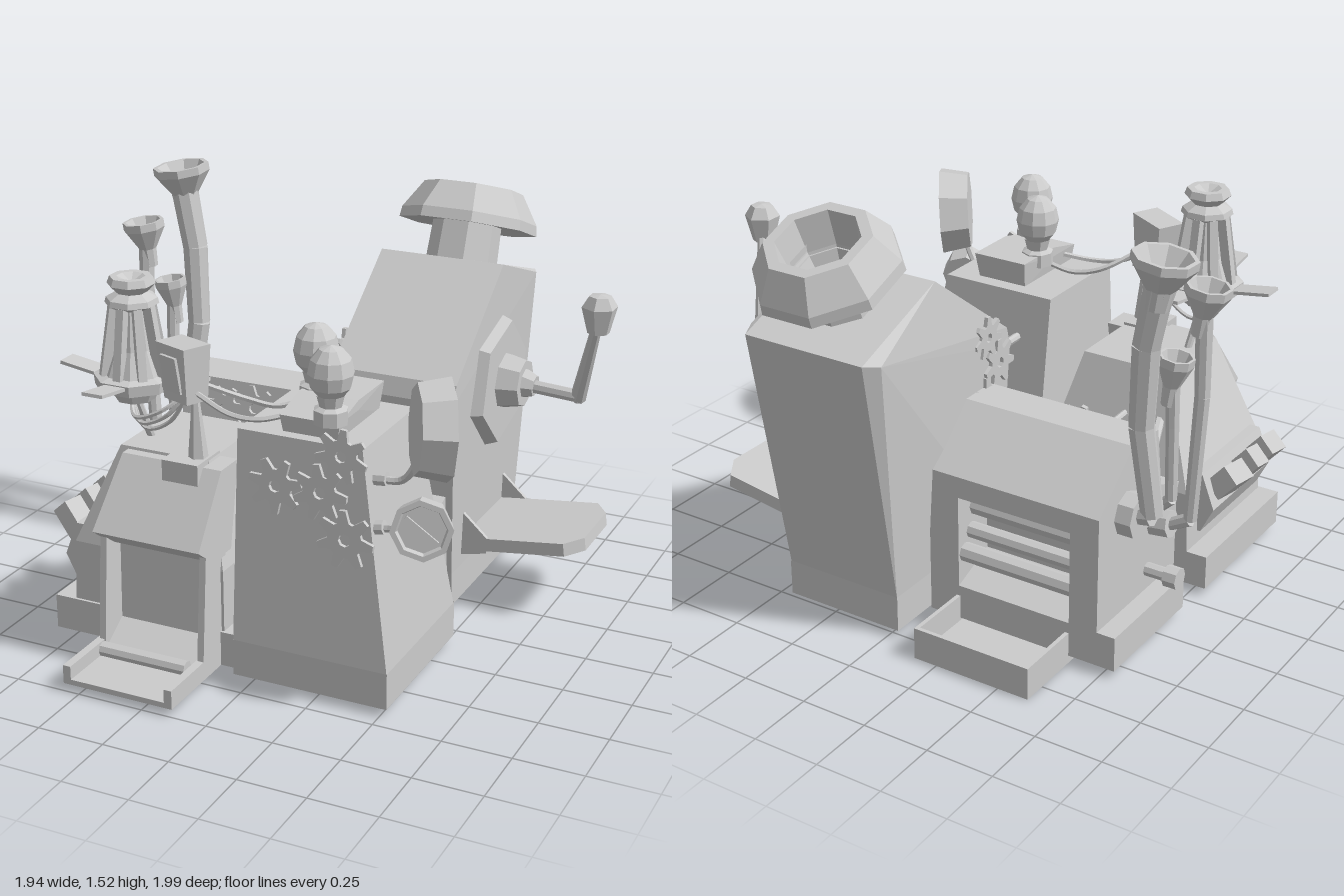
import * as THREE from 'three';
import { ConvexGeometry } from 'three/addons/geometries/ConvexGeometry.js';

const mat = new THREE.MeshStandardMaterial({ color: 0xcccccc, flatShading: true, side: THREE.DoubleSide });
const V = (p) => new THREE.Vector3(...p);

export function createModel() {
  const root = new THREE.Group();
  const add = (name, geo, pos = [0, 0, 0], rot = [0, 0, 0], parent = root) => {
    const m = new THREE.Mesh(geo, mat);
    m.name = name;
    m.position.set(...pos);
    m.rotation.set(...rot);
    parent.add(m);
    return m;
  };
  const group = (name, pos) => {
    const g = new THREE.Group();
    g.name = name;
    g.position.set(...pos);
    root.add(g);
    return g;
  };
  // box given by its limits
  const box = (name, x0, x1, y0, y1, z0, z1) =>
    add(name, new THREE.BoxGeometry(x1 - x0, y1 - y0, z1 - z0), [(x0 + x1) / 2, (y0 + y1) / 2, (z0 + z1) / 2]);
  // rectangle of four corners at one height, for tapered solids
  const ring = (y, x0, x1, z0, z1) => [[x0, y, z0], [x1, y, z0], [x1, y, z1], [x0, y, z1]];
  const solid = (name, pts) => add(name, new ConvexGeometry(pts.map(V)));
  // shell without the faces that lie wholly at one of the given heights
  const shell = (name, pts, openAt) => {
    const p = new ConvexGeometry(pts.map(V)).getAttribute('position').array;
    const kept = [];
    for (let i = 0; i < p.length; i += 9)
      if (!openAt.some((y) => [1, 4, 7].every((k) => Math.abs(p[i + k] - y) < 1e-4))) kept.push(...p.slice(i, i + 9));
    const g = new THREE.BufferGeometry();
    g.setAttribute('position', new THREE.Float32BufferAttribute(kept, 3));
    g.computeVertexNormals();
    return add(name, g);
  };
  // (z, y) profile extruded along x
  const prism = (name, profile, x0, x1) => {
    const s = new THREE.Shape(profile.map(([z, y]) => new THREE.Vector2(-z, y)));
    const g = new THREE.ExtrudeGeometry(s, { depth: x1 - x0, bevelEnabled: false });
    return add(name, g.rotateY(Math.PI / 2).translate(x0, 0, 0));
  };
  // straight round bar from a to b
  const rod = (name, a, b, r0, r1 = r0, n = 8) => {
    const A = V(a), d = V(b).sub(A);
    const m = add(name, new THREE.CylinderGeometry(r1, r0, d.length(), n), A.clone().addScaledVector(d, 0.5).toArray());
    m.quaternion.setFromUnitVectors(new THREE.Vector3(0, 1, 0), d.normalize());
    return m;
  };
  const tube = (name, pts, r, n = 6) =>
    add(name, new THREE.TubeGeometry(new THREE.CatmullRomCurve3(pts.map(V)), 16, r, n));
  const lathe = (pts, n = 8) => new THREE.LatheGeometry(pts.map((p) => new THREE.Vector2(...p)), n);

  // cog with square teeth and an open hub
  const gearGeo = (r, teeth = 7) => {
    const s = new THREE.Shape();
    for (let i = 0; i < teeth * 4; i++) {
      const a = ((i + 0.5) / (teeth * 4)) * Math.PI * 2;
      const q = i % 4 < 2 ? r : r * 0.6;
      s[i ? 'lineTo' : 'moveTo'](q * Math.cos(a), q * Math.sin(a));
    }
    s.holes.push(new THREE.Path().absarc(0, 0, r * 0.22, 0, Math.PI * 2));
    return new THREE.ExtrudeGeometry(s, { depth: 0.015, bevelEnabled: false, curveSegments: 4 });
  };

  // front right cabinet
  shell('cabinetBase', [...ring(0.04, -0.06, 0.525, 0.09, 0.69), ...ring(0.175, -0.06, 0.525, 0.09, 0.69)], [0.04, 0.175]);
  shell('cabinetBody', [...ring(0.17, -0.059, 0.523, 0.092, 0.688), ...ring(0.95, -0.05, 0.41, 0.21, 0.645)], [0.17]);
  solid('lampPlinth', [...ring(0.94, 0.1, 0.3, 0.27, 0.6), ...ring(1.045, 0.09, 0.31, 0.25, 0.46), ...ring(1.01, 0.09, 0.31, 0.46, 0.61)]);
  for (const [x, y, r] of [[0.1, 0.775, 0.1], [0.265, 0.78, 0.1], [0.34, 0.92, 0.095], [0.36, 0.63, 0.105]])
    add('frontGear', gearGeo(r), [x, y, 0.684 - (y - 0.17) * 0.045], [-0.05, 0, x * 9]);
  for (const [x, z] of [[0.12, 0.39], [0.265, 0.58]]) {
    const g = group('bulb', [x, 0, z]);
    add('bulbGlass', new THREE.SphereGeometry(0.08, 10, 6).scale(1, 1.2, 1), [0, 1.175, 0], [0, 0, 0], g);
    add('bulbSocket', lathe([[0, 1], [0.06, 1], [0.06, 1.05], [0.04, 1.06], [0.05, 1.1]]), [0, 0, 0], [0, 0, 0], g);
  }

  // gauges on stalks
  const gauge = (c, n, r, depth) => {
    const g = group('gauge', c);
    g.quaternion.setFromUnitVectors(new THREE.Vector3(0, 1, 0), V(n).normalize());
    add('gaugeCase', lathe([[0, -depth / 2], [r * 0.88, -depth / 2], [r, depth / 2], [r * 0.82, depth / 2], [r * 0.76, depth * 0.3], [0, depth * 0.3]]), [0, 0, 0], [0, 0.39, 0], g);
    add('gaugeNeedle', new THREE.BoxGeometry(r * 0.1, 0.01, r * 1.3), [0, depth * 0.36, 0], [0, 1.2, 0], g);
  };
  gauge([0.635, 1.045, 0.6], [0.82, -0.05, -0.5], 0.175, 0.11);
  gauge([0.645, 0.74, 0.69], [0.3, 0.1, 0.95], 0.105, 0.08);
  tube('gaugeStalk', [[0.42, 0.83, 0.58], [0.52, 0.84, 0.58], [0.56, 0.88, 0.59], [0.6, 0.97, 0.6]], 0.014);
  tube('gaugeStalk', [[0.43, 0.67, 0.62], [0.5, 0.68, 0.62], [0.56, 0.7, 0.64], [0.62, 0.74, 0.67]], 0.014);
  rod('stalkKnob', [0.42, 0.83, 0.58], [0.47, 0.835, 0.58], 0.025);
  rod('stalkKnob', [0.43, 0.67, 0.62], [0.48, 0.68, 0.62], 0.025);

  // tall rear tower
  shell('towerBase', [...ring(0.04, -0.04, 0.43, -0.77, -0.12), ...ring(0.175, -0.04, 0.43, -0.77, -0.12)], [0.04, 0.175]);
  shell('towerBody', [...ring(0.17, -0.038, 0.428, -0.768, -0.122), [-0.04, 0.87, -0.05], [0.45, 0.87, -0.05],
    [-0.04, 0.94, -0.07], [0.45, 0.94, -0.07], [-0.04, 1.27, -0.51], [0.45, 1.27, -0.51],
    [-0.06, 1.13, -0.95], [0.42, 1.13, -0.95], [-0.1, 1.12, -0.9], [0.45, 1.14, -0.88]], [0.17]);
  for (const [y, z, r] of [[0.84, -0.15, 0.09], [0.72, -0.22, 0.09], [0.96, -0.22, 0.08]])
    add('towerSideGear', gearGeo(r), [-0.05, y, z], [0, -Math.PI / 2, y * 7]);

  // funnel leaning backwards
  const funnel = group('funnel', [0.21, 1.325, -0.755]);
  funnel.rotation.x = -0.37;
  add('funnelNeck', new THREE.CylinderGeometry(0.13, 0.14, 0.3, 8, 1, true), [0, -0.1, 0.01], [0, 0.39, 0], funnel);
  add('funnelRim', lathe([[0.12, 0.01], [0.265, 0], [0.26, 0.04], [0.19, 0.15], [0.15, 0.15], [0.13, 0.02], [0.09, -0.1], [0, -0.14]]), [0, 0, 0], [0, 0.39, 0], funnel);

  // crank with hexagonal plate
  rod('crankPlate', [0.41, 0.835, -0.46], [0.49, 0.835, -0.46], 0.26, 0.23, 6).rotateY(0.27);
  rod('crankHub', [0.48, 0.84, -0.46], [0.57, 0.84, -0.46], 0.11, 0.09);
  rod('crankBoss', [0.56, 0.84, -0.46], [0.61, 0.835, -0.46], 0.06, 0.04);
  rod('crankAxle', [0.57, 0.835, -0.46], [0.79, 0.83, -0.44], 0.025);
  rod('crankArm', [0.78, 0.82, -0.45], [0.9, 1.2, -0.27], 0.03, 0.018);
  add('crankKnob', lathe([[0, -0.07], [0.04, -0.065], [0.065, 0.03], [0.04, 0.07], [0, 0.075]], 6), [0.9, 1.21, -0.27]);

  // side chute with tray
  const trayShape = new THREE.Shape([[0.38, 0.21], [0.84, 0.21], [0.9, 0.28], [0.9, 0.53], [0.84, 0.62], [0.38, 0.63]].map((p) => new THREE.Vector2(...p)));
  const trayGeo = new THREE.ExtrudeGeometry(trayShape, { depth: 0.05, bevelEnabled: false }).rotateX(-Math.PI / 2);
  add('sideTray', trayGeo, [0, 0.18, 0], [0, 0, 0.13]);
  for (const z of [-0.64, -0.225])
    solid('chuteCheek', [z, z + 0.015].flatMap((q) => [[0.4, 0.21, q], [0.53, 0.24, q], [0.53, 0.3, q], [0.42, 0.4, q]]));

  // floor block and pipes linking the machines
  prism('linkFloor', [[0.2, 0.05], [0.2, 0.42], [0.06, 0.44], [-0.1, 0.5], [-0.2, 0.5], [-0.2, 0.05]], -0.68, 0.41);
  for (const [x, y] of [[0.08, 0.78], [0.14, 0.61], [0.29, 0.73], [0.35, 0.61]])
    rod('linkPipe', [x, y, 0.25], [x, y, -0.12], 0.016);
  rod('linkPipe', [-0.68, 0.61, -0.16], [-0.53, 0.61, 0.2], 0.02);
  rod('linkPipe', [-0.42, 0.61, -0.16], [-0.41, 0.61, 0.2], 0.012);

  // rear left press: full cheeks, notched middle with rollers
  const top = [[-0.1, 0.17], [-0.19, 0.77], [-0.36, 0.78], [-0.58, 0.6]];
  shell('pressBase', [...ring(0.04, -0.8, -0.05, -0.58, -0.09), ...ring(0.17, -0.8, -0.05, -0.58, -0.09)], [0.04]);
  prism('pressCheek', [...top, [-0.58, 0.17]], -0.73, -0.62);
  prism('pressCheek', [...top, [-0.58, 0.17]], -0.17, -0.05);
  prism('pressMiddle', [...top, [-0.58, 0.52], [-0.4, 0.5], [-0.4, 0.24], [-0.58, 0.17]], -0.62, -0.17);
  for (const [y, z, r] of [[0.45, -0.47, 0.04], [0.36, -0.5, 0.03], [0.29, -0.54, 0.035]])
    rod('pressRoller', [-0.63, y, z], [-0.16, y, z], r);
  for (const [x, y, r] of [[-0.54, 0.66, 0.09], [-0.41, 0.68, 0.09], [-0.3, 0.62, 0.08]])
    add('pressGear', gearGeo(r), [x, y, -0.165], [-0.14, 0, x * 5]);
  rod('pressKnob', [-0.72, 0.25, -0.24], [-0.82, 0.25, -0.24], 0.025);
  rod('pressKnob', [-0.81, 0.25, -0.24], [-0.86, 0.25, -0.24], 0.04);
  box('rearTrayFloor', -0.62, -0.16, 0.01, 0.03, -0.84, -0.52);
  for (const x of [-0.62, -0.175]) box('rearTraySide', x, x + 0.015, 0.01, 0.13, -0.84, -0.52);
  box('rearTrayEnd', -0.62, -0.16, 0.01, 0.13, -0.84, -0.825);

  // exhaust horns: bent pipe with a flared mouth
  const horn = (pts, r, mouth) => {
    for (let i = 1; i < pts.length; i++) rod('hornPipe', pts[i - 1], pts[i], r * (0.7 + 0.1 * i), r * (0.8 + 0.1 * i));
    add('hornMouth', lathe([[r, -0.1], [r * 1.2, -0.03], [mouth, 0.05], [mouth, 0.08], [mouth * 0.85, 0.08], [r * 0.6, -0.02], [0, -0.03]]), pts.at(-1), [0, 0.39, 0.14]);
  };
  horn([[-0.74, 0.55, -0.4], [-0.83, 0.57, -0.4], [-0.79, 0.9, -0.42], [-0.81, 1.2, -0.44], [-0.86, 1.44, -0.45]], 0.045, 0.11);
  horn([[-0.78, 0.42, -0.2], [-0.87, 0.47, -0.2], [-0.9, 0.95, -0.21], [-0.9, 1.27, -0.22]], 0.028, 0.08);
  horn([[-0.76, 0.5, -0.27], [-0.83, 0.57, -0.27], [-0.83, 0.85, -0.28], [-0.83, 1.03, -0.29]], 0.024, 0.062);
  rod('hornFlange', [-0.72, 0.55, -0.4], [-0.79, 0.55, -0.4], 0.08);
  rod('hornFlange', [-0.72, 0.42, -0.2], [-0.8, 0.43, -0.2], 0.05);

  // front left machine
  shell('machineBase', [...ring(0.04, -0.81, -0.07, 0.06, 0.65), ...ring(0.17, -0.81, -0.07, 0.06, 0.65)], [0.04]);
  shell('machineBody', [...ring(0.17, -0.73, -0.12, 0.06, 0.64), ...ring(0.4, -0.72, -0.12, 0.06, 0.64), ...ring(0.78, -0.55, -0.2, 0.21, 0.58)], [0.17]);
  solid('hood', [...ring(0.455, -0.55, -0.13, 0.56, 0.69), ...ring(0.53, -0.55, -0.13, 0.56, 0.79), ...ring(0.77, -0.52, -0.13, 0.5, 0.62)]);
  for (const x of [-0.55, -0.155])
    prism('chuteWall', [[0.6, 0.05], [0.78, 0.05], [0.74, 0.5], [0.6, 0.47]], x, x + 0.025);
  prism('chuteRamp', [[0.62, 0.05], [0.8, 0.06], [0.66, 0.15], [0.65, 0.47], [0.62, 0.47]], -0.54, -0.14);
  box('frontTrayFloor', -0.56, -0.13, 0.04, 0.06, 0.6, 1);
  for (const x of [-0.56, -0.16]) box('frontTrayRail', x, x + 0.03, 0.04, 0.11, 0.6, 1);
  rod('frontRoller', [-0.51, 0.1, 0.82], [-0.17, 0.1, 0.82], 0.027);

  // sloping side panel with push buttons
  solid('buttonPanel', [...ring(0.22, -0.74, -0.7, 0.14, 0.6), ...ring(0.32, -0.79, -0.7, 0.14, 0.6), ...ring(0.45, -0.74, -0.7, 0.14, 0.6)]);
  for (const [z, w] of [[0.22, 0.1], [0.37, 0.065], [0.5, 0.08]])
    add('pushButton', new THREE.BoxGeometry(0.12, 0.08, w), [-0.81, 0.42, z], [0, -0.2, -0.85]);

  // bell lantern: slim core inside splayed ribs, four flaps on the collar
  const bell = group('lantern', [-0.52, 0, 0.52]);
  add('lanternBody', lathe([[0, 0.93], [0.07, 0.94], [0.09, 0.98], [0.14, 0.99], [0.145, 1.03], [0.11, 1.04], [0.075, 1.13], [0.055, 1.27],
    [0.095, 1.29], [0.09, 1.31], [0.055, 1.33], [0.085, 1.36], [0.075, 1.385], [0.05, 1.385], [0, 1.36]]), [0, 0, 0], [0, 0.39, 0], bell);
  for (let i = 0; i < 8; i++) {
    const arm = new THREE.Group();
    arm.rotation.y = (i * Math.PI) / 4;
    bell.add(arm);
    add('lanternRib', new THREE.BoxGeometry(0.035, 0.25, 0.03), [0.085, 1.16, 0], [0, 0, 0.16], arm);
    if (i % 2 === 0) add('lanternFlap', new THREE.BoxGeometry(0.16, 0.012, 0.08), [0.2, 1.03, 0], [0, 0, 0.15], arm);
  }
  rod('lanternPost', [-0.5, 0.77, 0.45], [-0.52, 0.95, 0.52], 0.015);

  // signal head on a spike, with cables
  box('spikeFoot', -0.34, -0.2, 0.69, 0.79, 0.5, 0.66);
  rod('spike', [-0.24, 0.79, 0.58], [-0.24, 1.02, 0.59], 0.035, 0.012, 6);
  const head = group('signalHead', [-0.28, 1.1, 0.59]);
  head.rotation.set(0, -0.45, 0.06);
  add('headCase', new THREE.CylinderGeometry(0.12, 0.095, 0.2, 4).rotateY(Math.PI / 4).scale(1, 1, 0.65), [0, 0, 0], [0, 0, 0], head);
  add('headPane', new THREE.BoxGeometry(0.09, 0.13, 0.01), [0, 0, 0.055], [0.12, 0, 0], head);
  for (const d of [0, 0.03, 0.06])
    tube('lanternCable', [[-0.53, 0.95, 0.53], [-0.47, 0.85 + d, 0.55 + d], [-0.36, 0.89 + d, 0.57 + d], [-0.27, 1.02, 0.58]], 0.008, 5);
  tube('lampCable', [[-0.22, 1.06, 0.58], [-0.1, 0.99, 0.48], [0, 0.97, 0.45], [0.1, 1, 0.42]], 0.01, 5);
  tube('lampCable', [[-0.22, 1.04, 0.62], [-0.1, 0.98, 0.61], [0, 0.97, 0.59], [0.1, 0.99, 0.54]], 0.01, 5);

  return root;
}
